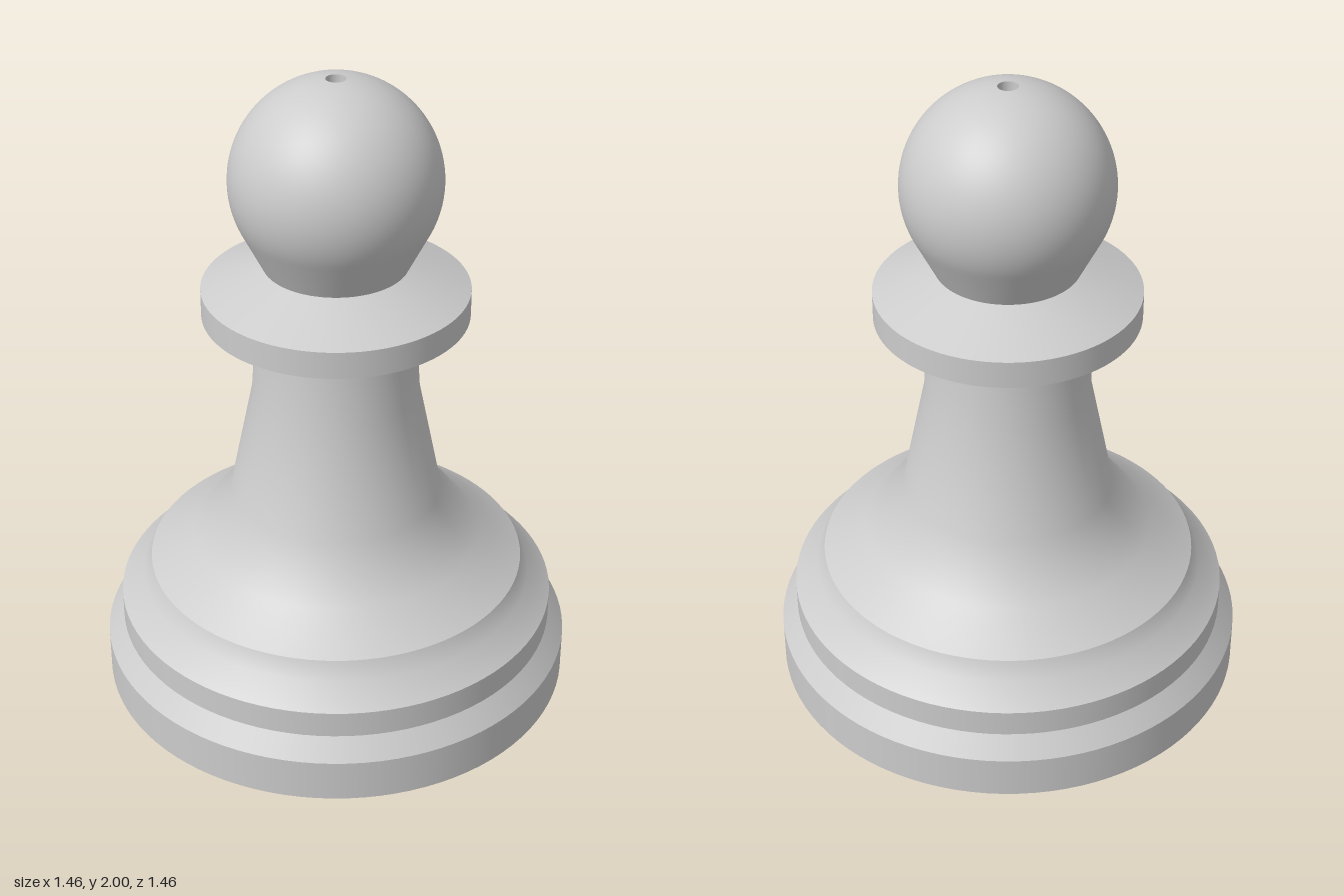
import * as THREE from 'three';

const SEGMENTS = 96;

export function createModel() {
  const model = new THREE.Group();
  model.name = 'pawn';
  const grey = new THREE.MeshStandardMaterial({ color: 0xcccccc });
  grey.name = 'light grey';

  // Each section is turned on its own: smooth inside, sharp where sections meet.
  function turn(parent, name, points) {
    const profile = points.map(([r, y]) => new THREE.Vector2(r, y));
    const mesh = new THREE.Mesh(new THREE.LatheGeometry(profile, SEGMENTS), grey);
    mesh.name = name;
    parent.add(mesh);
  }

  // One sharp-edged section for every pair of neighbouring points.
  function turnFaceted(name, points) {
    const part = new THREE.Group();
    part.name = name;
    for (let i = 1; i < points.length; i++) {
      turn(part, name + 'Face' + i, [points[i - 1], points[i]]);
    }
    model.add(part);
  }

  // Stepped base with its underside
  turnFaceted('base', [[0, 0], [0.732, 0], [0.732, 0.135], [0.682, 0.198], [0.682, 0.283]]);

  // Shoulder above the base
  turn(model, 'shoulder', [[0.682, 0.283], [0.61, 0.345], [0.585, 0.403]]);

  // Flared stem
  turn(model, 'stem', [
    [0.585, 0.403], [0.45, 0.49], [0.327, 0.645], [0.255, 1.0], [0.242, 1.195],
  ]);

  // Collar
  turnFaceted('collar', [[0.242, 1.195], [0.401, 1.26], [0.401, 1.345], [0.217, 1.42]]);

  // Ball head on a short neck, left open by a small pit at the top
  const radius = 0.314, centre = 1.687, pit = 0.03;
  const start = -0.5, end = Math.acos(pit / radius);
  const head = [[0.217, 1.42]];
  for (let i = 0; i <= 32; i++) {
    const a = start + (end - start) * i / 32;
    head.push([radius * Math.cos(a), centre + radius * Math.sin(a)]);
  }
  turn(model, 'head', head);

  // Pit in the crown
  const rim = head[head.length - 1][1];
  turnFaceted('crownPit', [[pit, rim], [pit, rim - 0.05], [0, rim - 0.05]]);

  return model;
}
